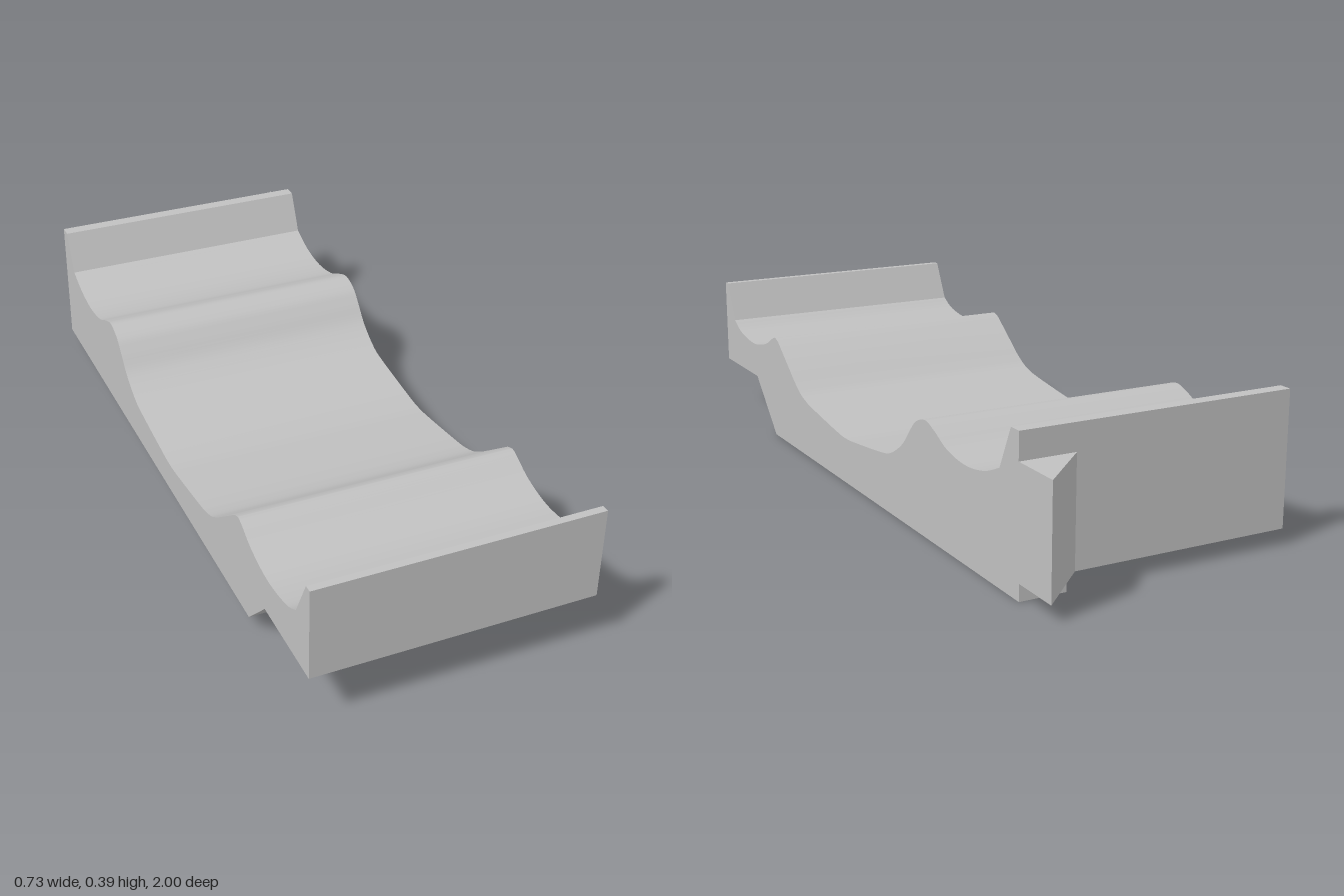
import * as THREE from 'three';
import { toCreasedNormals } from 'three/addons/utils/BufferGeometryUtils.js';

const HALF = 0.367; // half width of the rail

// Extrude a side profile (z, y) between two x positions
function sideExtrude(shape, x0, x1) {
  const geo = new THREE.ExtrudeGeometry(shape, { depth: x1 - x0, bevelEnabled: false, curveSegments: 5 });
  geo.rotateY(-Math.PI / 2);
  geo.translate(x1, 0, 0);
  return toCreasedNormals(geo, 0.4);
}

const points = (list) => list.map(([a, b]) => new THREE.Vector2(a, b));

export function createModel() {
  const group = new THREE.Group();
  const grey = new THREE.MeshStandardMaterial({ color: 0xc0c0c0 });
  grey.name = 'light grey';
  const add = (name, geo) => {
    const mesh = new THREE.Mesh(geo, grey);
    mesh.name = name;
    group.add(mesh);
  };

  // Main body: end walls, two cradles and a shallow middle valley
  const body = new THREE.Shape();
  body.moveTo(0.643, 0.043);
  body.lineTo(0.745, 0.147);
  body.lineTo(1, 0.147);
  body.lineTo(1, 0.392);
  body.lineTo(0.98, 0.392);
  body.lineTo(0.927, 0.285);
  body.splineThru(points([
    [0.87, 0.258], [0.765, 0.245], [0.67, 0.262], [0.61, 0.29], [0.585, 0.299], [0.56, 0.291],
  ]));
  body.lineTo(0.44, 0.2);
  body.splineThru(points([
    [0.40, 0.176], [0.36, 0.162], [0.31, 0.152], [0.14, 0.13], [0.075, 0.126], [0.01, 0.131],
    [-0.15, 0.15], [-0.21, 0.165], [-0.275, 0.205], [-0.32, 0.253], [-0.355, 0.285],
    [-0.405, 0.3], [-0.455, 0.285], [-0.52, 0.257], [-0.61, 0.245], [-0.70, 0.257], [-0.772, 0.285],
  ]));
  body.lineTo(-0.822, 0.392);
  body.lineTo(-0.857, 0.392);
  body.lineTo(-0.857, 0.043);
  add('cradleBody', sideExtrude(body, -HALF, HALF));

  // Low runner under the left edge, continuing the front chamfer
  const runner = new THREE.Shape(points([[0.643, 0.043], [0.6, 0], [-0.862, 0], [-0.862, 0.043]]));
  add('bottomRunner', sideExtrude(runner, 0.245, HALF));

  // Triangular fin on the rear left corner (drawn in plan, extruded upward)
  const fin = new THREE.Shape(points([[0.22, 0.857], [HALF, 0.857], [HALF, 1]]));
  const finGeo = new THREE.ExtrudeGeometry(fin, { depth: 0.28, bevelEnabled: false });
  finGeo.rotateX(-Math.PI / 2);
  finGeo.translate(0, 0.043, 0);
  add('rearFin', finGeo);

  return group;
}
